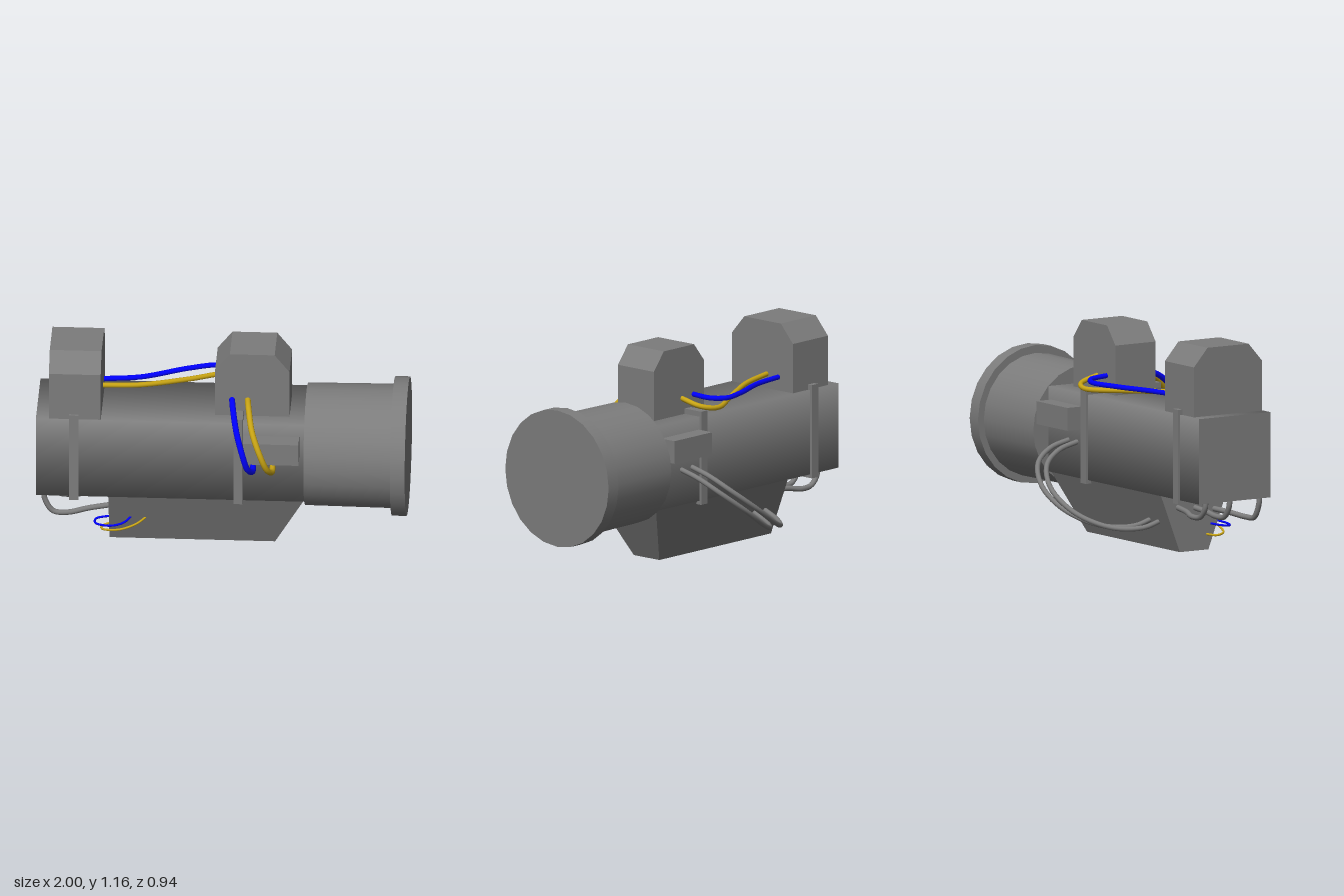
import * as THREE from 'three';

const material = (color) => new THREE.MeshStandardMaterial({ color });

export function createModel() {
  const model = new THREE.Group();
  const grey = material(0x7c7c7c);
  const blue = material(0x0000ff);
  const yellow = material(0xc8a414);

  const add = (name, geometry, mat = grey) => {
    const mesh = new THREE.Mesh(geometry, mat);
    mesh.name = name;
    model.add(mesh);
    return mesh;
  };

  // Box given by its limits on each axis
  const box = (name, [x0, x1], [y0, y1], [z0, z1]) =>
    add(name, new THREE.BoxGeometry(x1 - x0, y1 - y0, z1 - z0))
      .position.set((x0 + x1) / 2, (y0 + y1) / 2, (z0 + z1) / 2);

  // Cylinder along x from x0 to x1, with radius r0 at x0 and r1 at x1
  const barrel = (name, x0, x1, r0, r1, sides, turn, y, z) => {
    const g = new THREE.CylinderGeometry(r0, r1, x1 - x0, sides);
    g.rotateY(turn).rotateZ(Math.PI / 2);
    add(name, g).position.set((x0 + x1) / 2, y, z);
  };

  // Block with both top edges chamfered
  const chamferedBlock = (name, width, depth, chamfer, x, z, turn) => {
    const w = width / 2, c = chamfer, low = 0.78, high = 1.158;
    const shape = new THREE.Shape([
      [-w, low], [w, low], [w, high - 0.1], [w - c, high], [c - w, high], [-w, high - 0.1],
    ].map(([px, py]) => new THREE.Vector2(px, py)));
    const g = new THREE.ExtrudeGeometry(shape, { depth, bevelEnabled: false });
    g.translate(0, 0, -depth / 2).rotateY(turn);
    add(name, g).position.set(x, 0, z);
  };

  // Smooth round cable through a few points
  const cable = (name, points, radius, mat = grey) => {
    const curve = new THREE.CatmullRomCurve3(points.map((p) => new THREE.Vector3(...p)));
    add(name, new THREE.TubeGeometry(curve, 40, radius, 10), mat);
  };

  // Square softly shaded body, with the round head and its rim
  barrel('body', -1, 0.46, 0.329, 0.329, 4, Math.PI / 4, 0.553, 0.072);
  barrel('head', 0.45, 0.93, 0.331, 0.336, 24, 0, 0.552, 0.072);
  barrel('headRim', 0.92, 1, 0.377, 0.377, 24, 0, 0.554, 0.075);

  // Keel tapers downwards and slopes at the head end
  const keel = new THREE.BoxGeometry(1, 1, 1);
  const p = keel.attributes.position;
  for (let i = 0; i < p.count; i++) {
    const top = p.getY(i) > 0;
    const x = p.getX(i) < 0 ? -0.61 : top ? 0.45 : 0.285;
    p.setXYZ(i, x, top ? 0.325 : 0, 0.072 + Math.sign(p.getZ(i)) * (top ? 0.219 : 0.093));
  }
  keel.computeVertexNormals();
  add('keel', keel);

  // Top blocks, chamfered in different directions
  chamferedBlock('rearBlock', 0.443, 0.28, 0.088, -0.79, 0.0765, Math.PI / 2);
  chamferedBlock('frontBlock', 0.402, 0.262, 0.08, 0.164, 0.077, 0);

  // Straps around the body and the cross box through it
  for (const x of [-0.795, 0.093]) {
    box('strap', [x - 0.025, x + 0.025], [0.3, 0.815], [-0.175, 0.314]);
  }
  box('crossBox', [0.123, 0.423], [0.59, 0.715], [-0.258, 0.402]);

  // Coloured cables between the two top blocks
  cable('blueTopCable', [
    [-0.67, 0.86, -0.035], [-0.45, 0.86, -0.068], [-0.2, 0.866, -0.17],
    [-0.04, 0.87, -0.208], [0.035, 0.876, -0.16], [0.05, 0.885, -0.03],
  ], 0.014, blue);
  cable('yellowTopCable', [
    [-0.67, 0.866, 0.05], [-0.45, 0.853, 0.01], [-0.2, 0.836, -0.1],
    [0.03, 0.828, -0.208], [0.12, 0.845, -0.17], [0.14, 0.88, -0.03],
  ], 0.014, yellow);

  // Coloured cables from the front block down to the body side
  for (const [name, mat, x, dx] of [['blueSideCable', blue, 0.053, 0], ['yellowSideCable', yellow, 0.138, 0.02]]) {
    cable(name, [
      [x, 0.885, 0.19], [x + 0.01, 0.865, 0.28], [x + 0.035, 0.78, 0.393],
      [x + 0.07 + dx / 2, 0.67, 0.45], [x + 0.095 + dx, 0.58, 0.437], [x + 0.12 + dx, 0.53, 0.37],
      [x + 0.12 + dx, 0.53, 0.29],
    ], 0.016, mat);
  }

  // Pair of hoses looping from the back of the body to the keel
  for (const dx of [0, 0.085]) {
    cable('backHose', [
      [0.175 + dx, 0.518, -0.15], [0.17 + dx, 0.483, -0.28], [0.125 + dx, 0.415, -0.39],
      [-0.015 + dx, 0.302, -0.453], [-0.2 + dx, 0.19, -0.415], [-0.38 + dx, 0.127, -0.3],
      [-0.48 + dx, 0.13, -0.17], [-0.495 + dx, 0.165, -0.06],
    ], 0.014);
  }

  // Hoses from under the body into the keel end
  for (const [x, y, z0, z1] of [[-0.93, 0.24, -0.07, -0.03], [-0.94, 0.23, 0.08, 0.08], [-0.96, 0.215, 0.26, 0.2]]) {
    cable('underHose', [
      [x, 0.34, z0], [x + 0.005, 0.28, z0], [x + 0.05, y - 0.01, z0],
      [x + 0.13, y - 0.018, z0], [-0.72, y - 0.005, (z0 + z1) / 2], [-0.59, y + 0.005, z1],
    ], 0.015);
  }

  // Thin wires around the corner of the keel
  cable('blueWire', [
    [-0.48, 0.165, 0.21], [-0.53, 0.143, 0.265], [-0.6, 0.134, 0.286],
    [-0.68, 0.132, 0.255], [-0.68, 0.136, 0.21], [-0.6, 0.14, 0.18],
  ], 0.006, blue);
  cable('yellowWire', [
    [-0.4, 0.162, 0.21], [-0.46, 0.138, 0.265], [-0.55, 0.108, 0.278],
    [-0.64, 0.088, 0.24], [-0.65, 0.08, 0.19], [-0.6, 0.085, 0.15],
  ], 0.006, yellow);

  return model;
}
